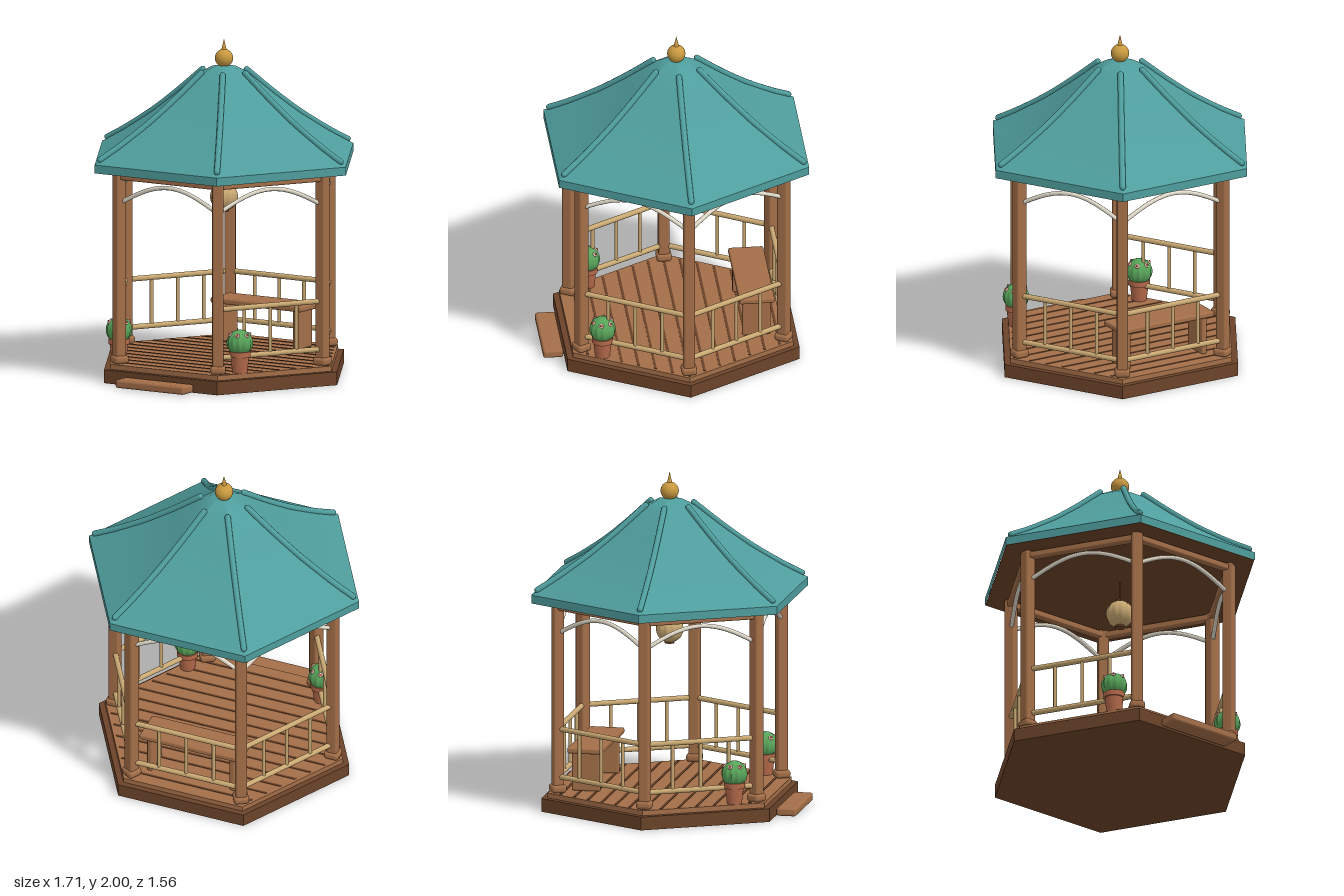
import * as THREE from 'three';
import { toCreasedNormals } from 'three/addons/utils/BufferGeometryUtils.js';
import { RoundedBoxGeometry } from 'three/addons/geometries/RoundedBoxGeometry.js';

const CZ = -0.036;            // centre of the hexagon in z
const POST_R = 0.693;         // corner radius of the posts
const SIDE_R = POST_R * Math.cos(Math.PI / 6);

const mat = (name, color) => {
  const m = new THREE.MeshStandardMaterial({ color });
  m.name = name;
  return m;
};

export function createModel() {
  const M = {
    teal: mat('roof teal', 0x4f9d9d),
    dark: mat('dark timber', 0x6b4329),
    wood: mat('warm timber', 0xa36e48),
    bamboo: mat('bamboo tan', 0xc9a872),
    cream: mat('arch cream', 0xe2dbcb),
    gold: mat('finial gold', 0xc8993f),
    clay: mat('terracotta', 0xb5694a),
    green: mat('cactus green', 0x58a45a),
    pink: mat('flower pink', 0xe9b9ac),
  };

  const root = new THREE.Group();
  root.name = 'gazebo';
  const house = new THREE.Group();
  house.name = 'pavilion';
  house.position.z = CZ;
  root.add(house);

  const add = (parent, name, geo, material, x = 0, y = 0, z = 0) => {
    const m = new THREE.Mesh(geo, material);
    m.name = name;
    m.position.set(x, y, z);
    parent.add(m);
    return m;
  };
  const rbox = (w, h, d, r) => new RoundedBoxGeometry(w, h, d, 2, r);
  const hexPrism = (r, h) =>
    toCreasedNormals(new THREE.CylinderGeometry(r, r, h, 6).rotateY(Math.PI / 6), 0.4);
  // Group turned so that its local +z points at a side or a corner
  const turned = (name, angle) => {
    const g = new THREE.Group();
    g.name = name;
    g.rotation.y = angle;
    house.add(g);
    return g;
  };

  // Plinth, deck and dark gaps between the boards
  add(house, 'plinth', hexPrism(0.795, 0.08), M.dark, 0, 0.04);
  add(house, 'deck', hexPrism(0.755, 0.03), M.wood, 0, 0.095);
  for (let i = -6; i <= 6; i++) {
    const z = i * 0.095;
    const half = 0.735 - Math.abs(z) / Math.sqrt(3);
    add(house, 'deckGap', new THREE.BoxGeometry(half * 2, 0.004, 0.014), M.dark, 0, 0.111, z);
  }
  add(root, 'step', rbox(0.48, 0.05, 0.12, 0.015), M.wood, 0, 0.028, 0.719);

  // Posts with rounded feet
  const postGeo = rbox(0.066, 1.15, 0.066, 0.012);
  const footGeo = rbox(0.092, 0.05, 0.092, 0.02);
  for (let k = 0; k < 6; k++) {
    const g = turned('postGroup', Math.PI / 6 + k * Math.PI / 3);
    add(g, 'post', postGeo, M.wood, 0, 0.685, POST_R);
    add(g, 'postFoot', footGeo, M.wood, 0, 0.136, POST_R);
  }

  // Beams, arches and railings on the sides; the front (k = 0) has no railing
  const beamGeo = rbox(POST_R, 0.04, 0.05, 0.01);
  const archPts = [];
  for (let i = 0; i <= 8; i++) {
    const t = i / 8;
    archPts.push(new THREE.Vector3((t - 0.5) * 0.65, 1.08 + 0.11 * Math.sin(Math.PI * t), 0));
  }
  const archGeo = new THREE.TubeGeometry(new THREE.CatmullRomCurve3(archPts), 32, 0.013, 8);
  const railGeo = new THREE.CylinderGeometry(0.016, 0.016, POST_R, 12).rotateZ(Math.PI / 2);
  const balusterGeo = new THREE.CylinderGeometry(0.011, 0.011, 0.29, 10);
  for (let k = 0; k < 6; k++) {
    const g = turned('side', k * Math.PI / 3);
    add(g, 'beam', beamGeo, M.wood, 0, 1.232, SIDE_R);
    add(g, 'arch', archGeo, M.cream, 0, 0, SIDE_R);
    if (k === 0) continue;
    add(g, 'topRail', railGeo, M.bamboo, 0, 0.495, SIDE_R);
    add(g, 'lowerRail', railGeo, M.bamboo, 0, 0.207, SIDE_R);
    for (const s of [-1, 0, 1])
      add(g, 'baluster', balusterGeo, M.bamboo, s * POST_R / 4, 0.35, SIDE_R);
  }

  // Swept six-sided roof with a fascia, ceiling and ridge tubes
  const slope = [[0.857, 1.31], [0.7, 1.398], [0.5, 1.525], [0.33, 1.652],
    [0.16, 1.79], [0.08, 1.832], [0.001, 1.848]];
  const profile = [[0.857, 1.26], ...slope].map(([r, y]) => new THREE.Vector2(r, y));
  const roofGeo = new THREE.LatheGeometry(profile, 6, Math.PI / 6);
  add(house, 'roof', toCreasedNormals(roofGeo, 0.33), M.teal);
  add(house, 'ceiling', hexPrism(0.853, 0.006), M.dark, 0, 1.263);
  const ridgePts = [[0.82, 1.338], [0.7, 1.404], [0.5, 1.531], [0.33, 1.658], [0.15, 1.806]]
    .map(([r, y]) => new THREE.Vector3(0, y, r));
  const ridgeGeo = new THREE.TubeGeometry(new THREE.CatmullRomCurve3(ridgePts), 24, 0.018, 10);
  const ridgeEndGeo = new THREE.SphereGeometry(0.018, 10, 8);
  for (let k = 0; k < 6; k++) {
    const g = turned('ridgeGroup', Math.PI / 6 + k * Math.PI / 3);
    add(g, 'ridge', ridgeGeo, M.teal);
    for (const p of [ridgePts[0], ridgePts[4]])
      add(g, 'ridgeEnd', ridgeEndGeo, M.teal, 0, p.y, p.z);
  }

  // Finial
  add(house, 'finialBall', new THREE.SphereGeometry(0.054, 24, 16), M.gold, 0, 1.885);
  add(house, 'finialSpike', new THREE.ConeGeometry(0.017, 0.072, 12), M.gold, 0, 1.964);

  // Ball with vertical ribs, used for the lantern and the cacti
  const ribbedBall = (r, ribs, depth) => {
    const geo = new THREE.SphereGeometry(r, ribs * 6, 20);
    const p = geo.attributes.position;
    for (let i = 0; i < p.count; i++) {
      const a = Math.atan2(p.getZ(i), p.getX(i));
      const s = 1 - depth * (0.5 - 0.5 * Math.cos(a * ribs));
      p.setXYZ(i, p.getX(i) * s, p.getY(i), p.getZ(i) * s);
    }
    geo.computeVertexNormals();
    return geo;
  };

  // Hanging lantern
  const lantern = new THREE.Group();
  lantern.name = 'lantern';
  house.add(lantern);
  add(lantern, 'lanternBody', ribbedBall(0.083, 12, 0.05), M.bamboo, 0, 1.055);
  const capGeo = new THREE.CylinderGeometry(0.03, 0.03, 0.018, 16);
  add(lantern, 'lanternCap', capGeo, M.dark, 0, 1.134);
  add(lantern, 'lanternBase', capGeo, M.dark, 0, 0.976);
  add(lantern, 'lanternCord', new THREE.CylinderGeometry(0.004, 0.004, 0.125, 6), M.dark, 0, 1.2);

  // Bench along the back
  const bench = new THREE.Group();
  bench.name = 'bench';
  bench.position.z = -0.482;
  root.add(bench);
  add(bench, 'benchSeat', rbox(0.64, 0.036, 0.21, 0.012), M.wood, 0, 0.358);
  for (const s of [-1, 1])
    add(bench, 'benchLeg', rbox(0.034, 0.235, 0.17, 0.01), M.wood, s * 0.262, 0.227);

  // Potted cacti beside the front posts
  const potGeo = toCreasedNormals(new THREE.LatheGeometry(
    [[0.001, 0], [0.044, 0], [0.055, 0.095], [0.063, 0.095], [0.063, 0.128],
      [0.052, 0.128], [0.05, 0.112], [0.001, 0.112]].map(([r, y]) => new THREE.Vector2(r, y)), 24), 0.6);
  const cactusGeo = ribbedBall(0.078, 12, 0.08);
  const flowerGeo = new THREE.SphereGeometry(0.015, 10, 8).scale(1, 1, 0.5);
  const budGeo = new THREE.SphereGeometry(0.007, 8, 6);
  for (const s of [-1, 1]) {
    const g = new THREE.Group();
    g.name = 'pottedCactus';
    g.position.set(s * 0.425, 0.11, 0.448);
    root.add(g);
    add(g, 'pot', potGeo, M.clay);
    add(g, 'cactus', cactusGeo, M.green, 0, 0.178);
    for (let i = 0; i < 6; i++) {
      const a = i * Math.PI / 3 + 0.3;
      const dir = new THREE.Vector3(Math.sin(a) * 0.76, 0.65, Math.cos(a) * 0.76);
      const f = add(g, 'flower', flowerGeo, M.pink);
      f.position.set(0, 0.178, 0).addScaledVector(dir, 0.077);
      f.quaternion.setFromUnitVectors(new THREE.Vector3(0, 0, 1), dir.clone().normalize());
      add(f, 'flowerHeart', budGeo, M.clay, 0, 0, 0.006);
    }
  }

  return root;
}
